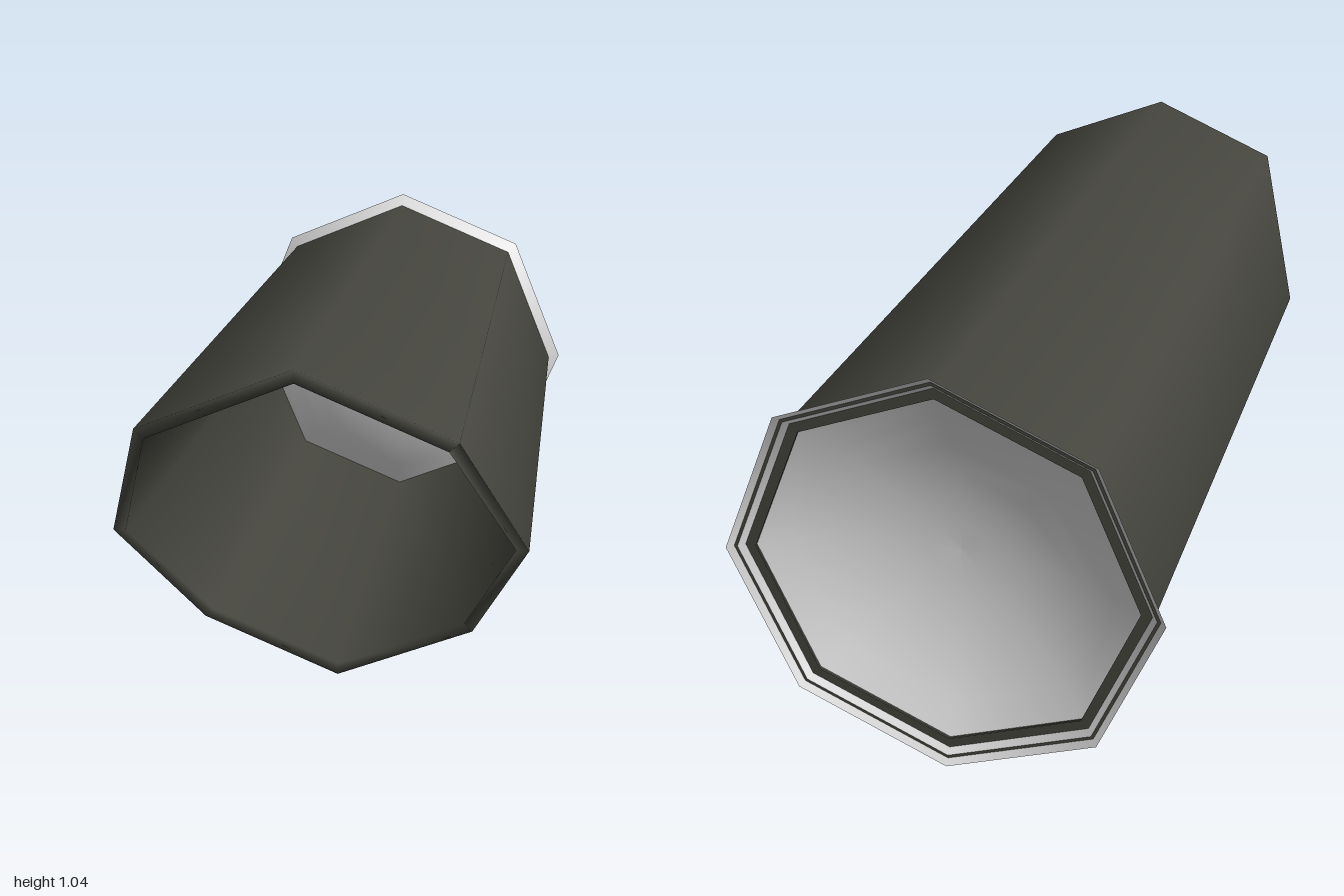
import * as THREE from 'three';

const SIDES = 8;
const CENTRE_Y = 0.523;

// Eight-sided turned part along z, from [radius, z] points
function turned(points) {
  const g = new THREE.LatheGeometry(points.map(([r, z]) => new THREE.Vector2(r, z)), SIDES);
  g.rotateX(Math.PI / 2);
  return g;
}

export function createModel() {
  const group = new THREE.Group();
  const dark = new THREE.MeshStandardMaterial({ color: 0x46463f, side: THREE.DoubleSide });
  dark.name = 'dark olive grey';
  const light = new THREE.MeshStandardMaterial({ color: 0xdcdcdc, side: THREE.DoubleSide });
  light.name = 'pale grey';

  function add(name, geometry, material) {
    const mesh = new THREE.Mesh(geometry, material);
    mesh.name = name;
    mesh.position.y = CENTRE_Y;
    group.add(mesh);
  }

  // Hollow hood; its front ring is slanted so the top reaches further forward
  const hood = turned([
    [0.49, -0.97], [0.49, 0.43], [0.49, 1],
    [0.46, 1], [0.46, 0.43], [0.46, -0.97],
  ]);
  const p = hood.attributes.position;
  for (let i = 0; i < p.count; i++) {
    if (p.getZ(i) < 0.9) continue;
    const up = p.getY(i) / Math.hypot(p.getX(i), p.getY(i));
    p.setZ(i, THREE.MathUtils.clamp(0.72 + 0.41 * up, 0.43, 1));
  }
  add('hood', hood, dark);

  // Flared flange at the back, with a stepped inner edge
  add('flange', turned([[0.522, -1], [0.49, -0.97]]), light);
  add('flangeGroove', turned([[0.507, -0.987], [0.499, -0.987]]), dark);
  add('innerFlange', turned([[0.499, -0.987], [0.485, -0.973]]), light);
  add('backRim', turned([[0.487, -0.973], [0.459, -0.973]]), dark);

  // Shallow domed lens bulging forward
  const lens = [];
  const rim = 0.46, angle = 0.5, radius = rim / Math.sin(angle);
  for (let i = 0; i <= 6; i++) {
    const a = angle * (1 - i / 6);
    lens.push([radius * Math.sin(a), -0.965 + radius * (Math.cos(a) - Math.cos(angle))]);
  }
  add('lens', turned(lens), light);

  return group;
}
